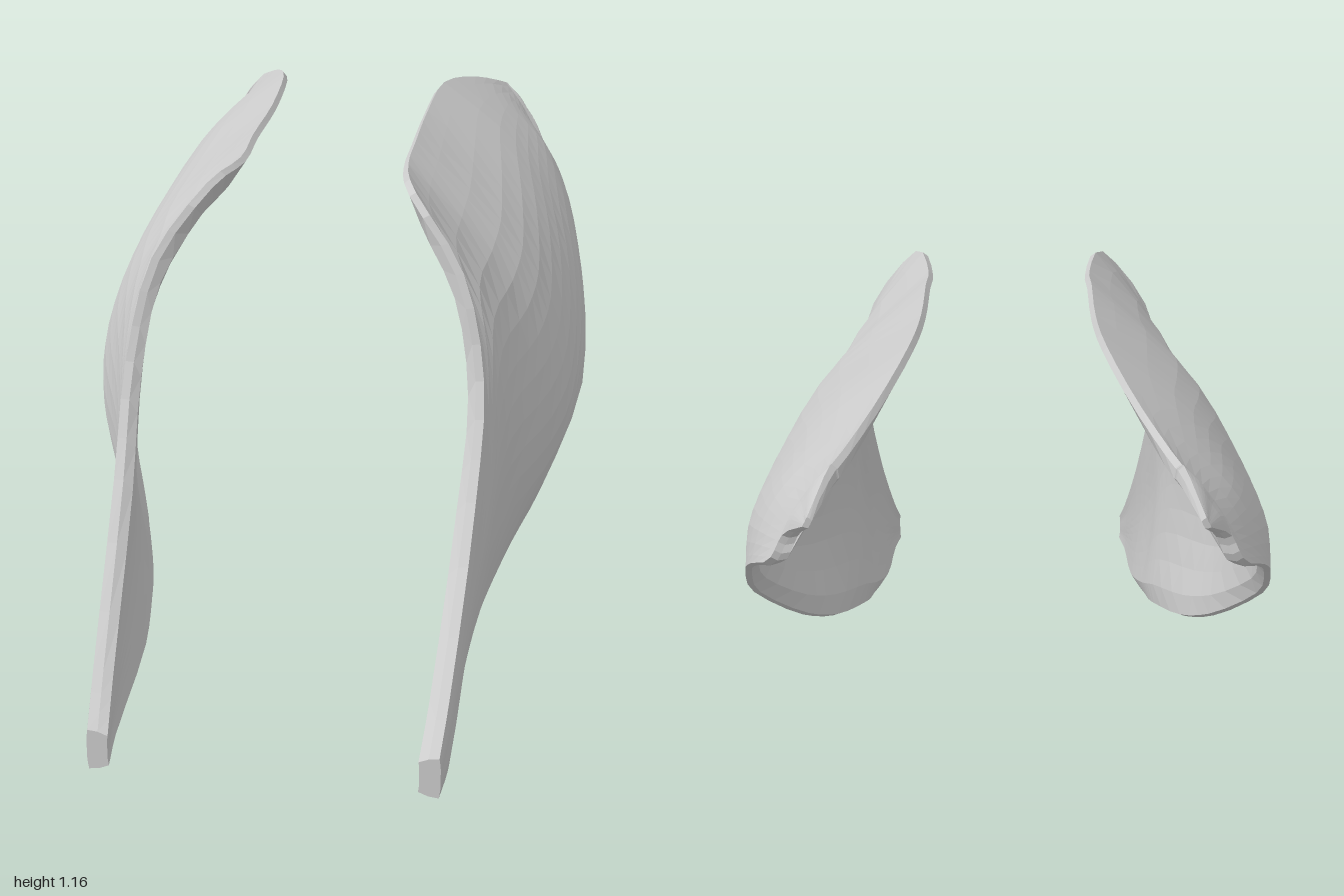
import * as THREE from 'three';

// Cross-sections from back to front: z, bottom y, top y, then outer x at five even heights
const SECTIONS = [
  [-1.0, 0.98, 1.0, 0.395, 0.393, 0.39, 0.388, 0.385],
  [-0.922, 0.925, 1.075, 0.445, 0.43, 0.405, 0.38, 0.345],
  [-0.918, 0.875, 1.078, 0.47, 0.44, 0.41, 0.38, 0.34],
  [-0.75, 0.78, 1.13, 0.535, 0.51, 0.46, 0.375, 0.27],
  [-0.5, 0.64, 1.17, 0.585, 0.565, 0.49, 0.38, 0.21],
  [-0.25, 0.46, 1.155, 0.605, 0.60, 0.535, 0.41, 0.195],
  [0, 0.27, 1.145, 0.52, 0.585, 0.55, 0.43, 0.195],
  [0.15, 0.19, 1.13, 0.46, 0.54, 0.525, 0.42, 0.195],
  [0.345, 0.125, 1.12, 0.41, 0.455, 0.46, 0.40, 0.235],
  [0.41, 0.105, 0.96, 0.40, 0.43, 0.44, 0.415, 0.35],
  [0.46, 0.095, 0.73, 0.395, 0.42, 0.43, 0.42, 0.405],
  [0.6, 0.06, 0.5, 0.385, 0.40, 0.41, 0.41, 0.405],
  [0.9, 0.015, 0.19, 0.385, 0.39, 0.39, 0.39, 0.385],
  [1.0, 0.005, 0.1, 0.375, 0.378, 0.378, 0.378, 0.375],
];
const STEPS = 14;

// Closed loop: up the outer skin, down the inner skin, thinner at both rims
function sectionLoop([z, lo, hi, ...xs]) {
  const curve = new THREE.SplineCurve(xs.map((x, i) => new THREE.Vector2(x, lo + ((hi - lo) * i) / 4)));
  const thickness = Math.min(0.03 + 0.015 * THREE.MathUtils.smoothstep(z, 0.2, 0.7), (hi - lo) * 0.6);
  const outer = [], inner = [];
  for (let i = 0; i <= STEPS; i++) {
    const t = i / STEPS;
    const p = curve.getPoint(t);
    const tangent = curve.getTangent(t);
    const depth = thickness * (i === 0 || i === STEPS ? 0.5 : 1);
    outer.push(new THREE.Vector3(p.x, p.y, z));
    inner.unshift(new THREE.Vector3(p.x - tangent.y * depth, Math.max(0, p.y + tangent.x * depth), z));
  }
  return [...outer, ...inner];
}

// Loft the loops into a closed shell; side is +1 or -1
function shellGeometry(side) {
  const loops = SECTIONS.map(sectionLoop);
  const count = loops[0].length;
  const rows = (loops.length - 1) * 3;
  const rails = loops[0].map((_, j) => new THREE.CatmullRomCurve3(loops.map((l) => l[j])));
  const positions = [], index = [];
  for (let i = 0; i <= rows; i++) {
    for (const rail of rails) {
      const p = rail.getPoint(i / rows);
      positions.push(p.x * side, Math.max(0, p.y), p.z);
    }
  }
  const triangle = (a, b, c) => (side > 0 ? index.push(a, b, c) : index.push(a, c, b));
  for (let i = 0; i < rows; i++) {
    for (let j = 0; j < count; j++) {
      const k = (j + 1) % count;
      const a = i * count + j, b = i * count + k;
      triangle(a, b, a + count);
      triangle(b, b + count, a + count);
    }
  }
  // End caps, bridged between outer and inner skin
  const last = rows * count;
  for (let j = 0; j < STEPS; j++) {
    const a = j, b = j + 1, c = count - 2 - j, d = count - 1 - j;
    triangle(last + a, last + b, last + c);
    triangle(last + a, last + c, last + d);
    triangle(a, c, b);
    triangle(a, d, c);
  }
  const geometry = new THREE.BufferGeometry();
  geometry.setAttribute('position', new THREE.Float32BufferAttribute(positions, 3));
  geometry.setIndex(index);
  geometry.computeVertexNormals();
  return geometry;
}

export function createModel() {
  const model = new THREE.Group();
  model.name = 'pairedShells';
  const grey = new THREE.MeshStandardMaterial({ color: 0xcccccc, flatShading: true });
  grey.name = 'light grey';
  for (const [name, side] of [['leftShell', 1], ['rightShell', -1]]) {
    const shell = new THREE.Mesh(shellGeometry(side), grey);
    shell.name = name;
    model.add(shell);
  }
  return model;
}
